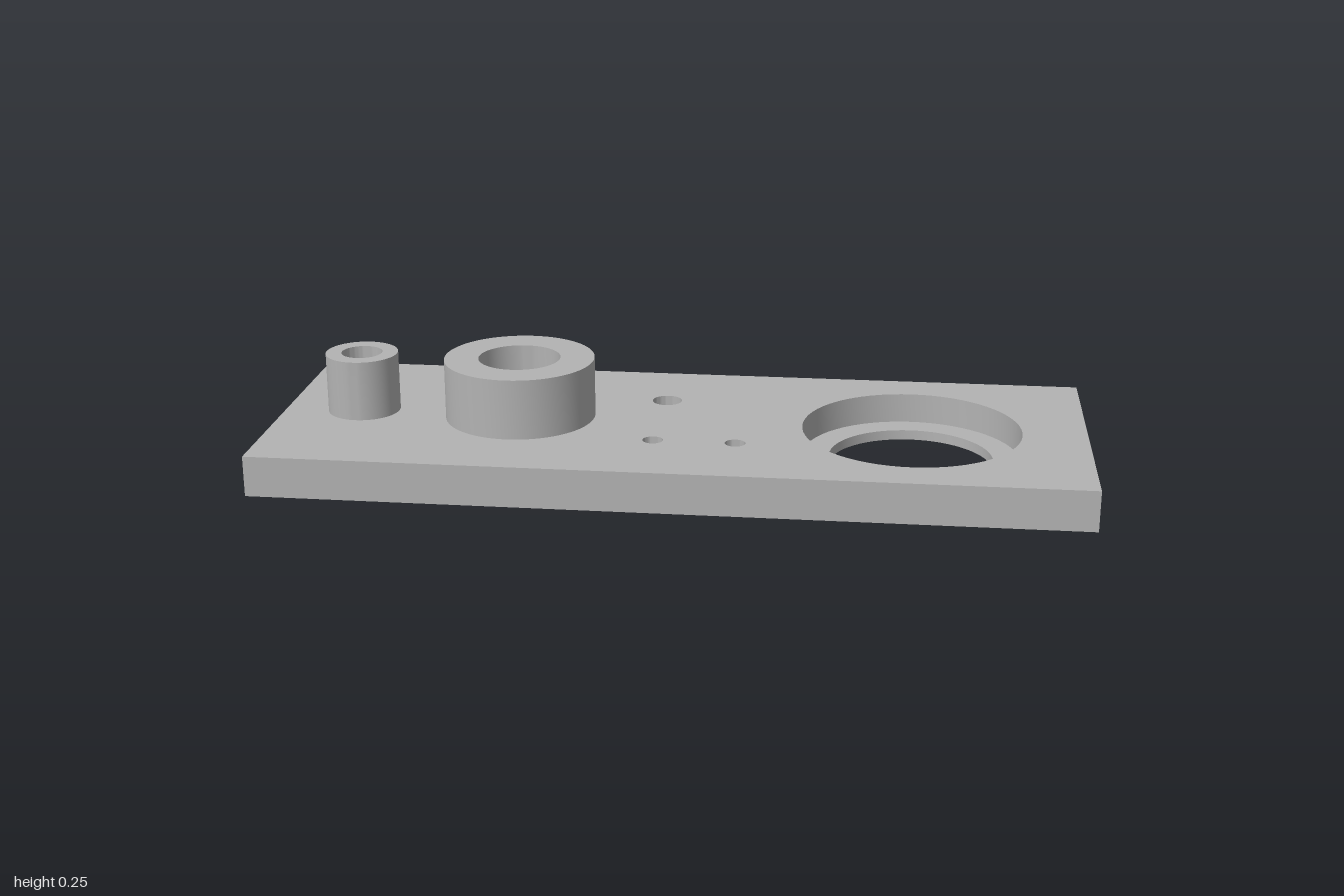
import * as THREE from 'three';
import { mergeGeometries, toCreasedNormals } from 'three/addons/utils/BufferGeometryUtils.js';

const W = 2, D = 0.75, T = 0.1, STEP = 0.025, SEG = 64;

// Each hole has a radius at the top face and at the bottom face.
const holes = [
  { name: 'largeCounterboredHole', x: 0.573, z: 0, top: 0.269, bottom: 0.202 },
  { name: 'smallCounterboredHole', x: 0.15, z: 0.15, top: 0.025, bottom: 0.05 },
  { name: 'smallHole', x: -0.05, z: 0.15, top: 0.025, bottom: 0.025 },
  { name: 'mediumHole', x: -0.05, z: -0.15, top: 0.0375, bottom: 0.0375 },
];

const bosses = [
  { name: 'smallBoss', x: -0.803, outer: 0.09, inner: 0.051 },
  { name: 'largeBoss', x: -0.402, outer: 0.187, inner: 0.102 },
];

// Flat plate face pierced by the holes; side is +1 for top, -1 for bottom.
function plateFace(side) {
  const shape = new THREE.Shape();
  shape.moveTo(-W / 2, -D / 2).lineTo(W / 2, -D / 2).lineTo(W / 2, D / 2).lineTo(-W / 2, D / 2).closePath();
  for (const h of holes) {
    const path = new THREE.Path();
    path.absarc(h.x, -side * h.z, side > 0 ? h.top : h.bottom, 0, Math.PI * 2, true);
    shape.holes.push(path);
  }
  return new THREE.ShapeGeometry(shape, SEG / 2)
    .rotateX(-side * Math.PI / 2)
    .translate(0, side > 0 ? T : 0, 0);
}

// Four outer edges of the plate.
function plateEdges() {
  return [0, 1, 2, 3].map((i) => {
    const [length, reach] = i % 2 ? [D, W / 2] : [W, D / 2];
    return new THREE.PlaneGeometry(length, T)
      .translate(0, T / 2, reach)
      .rotateY(i * Math.PI / 2);
  });
}

function turned(profile) {
  const points = profile.map(([r, y]) => new THREE.Vector2(r, y));
  return toCreasedNormals(new THREE.LatheGeometry(points, SEG), 0.6);
}

export function createModel() {
  const group = new THREE.Group();
  const grey = new THREE.MeshStandardMaterial({ color: 0xb3b3b3 });
  grey.name = 'machined grey';

  const add = (name, geometry, x = 0, z = 0) => {
    const mesh = new THREE.Mesh(geometry, grey);
    mesh.name = name;
    mesh.position.set(x, 0, z);
    group.add(mesh);
  };

  add('plate', mergeGeometries([plateFace(1), plateFace(-1), ...plateEdges()]));

  // Hole walls, stepped where the two radii differ
  for (const h of holes) {
    const profile = h.top === h.bottom
      ? [[h.top, T], [h.top, 0]]
      : [[h.top, T], [h.top, STEP], [h.bottom, STEP], [h.bottom, 0]];
    add(h.name, turned(profile), h.x, h.z);
  }

  // Raised hollow bosses standing on the plate
  for (const b of bosses) {
    add(b.name, turned([[b.outer, T], [b.outer, 0.25], [b.inner, 0.25], [b.inner, T]]), b.x);
  }
  return group;
}
